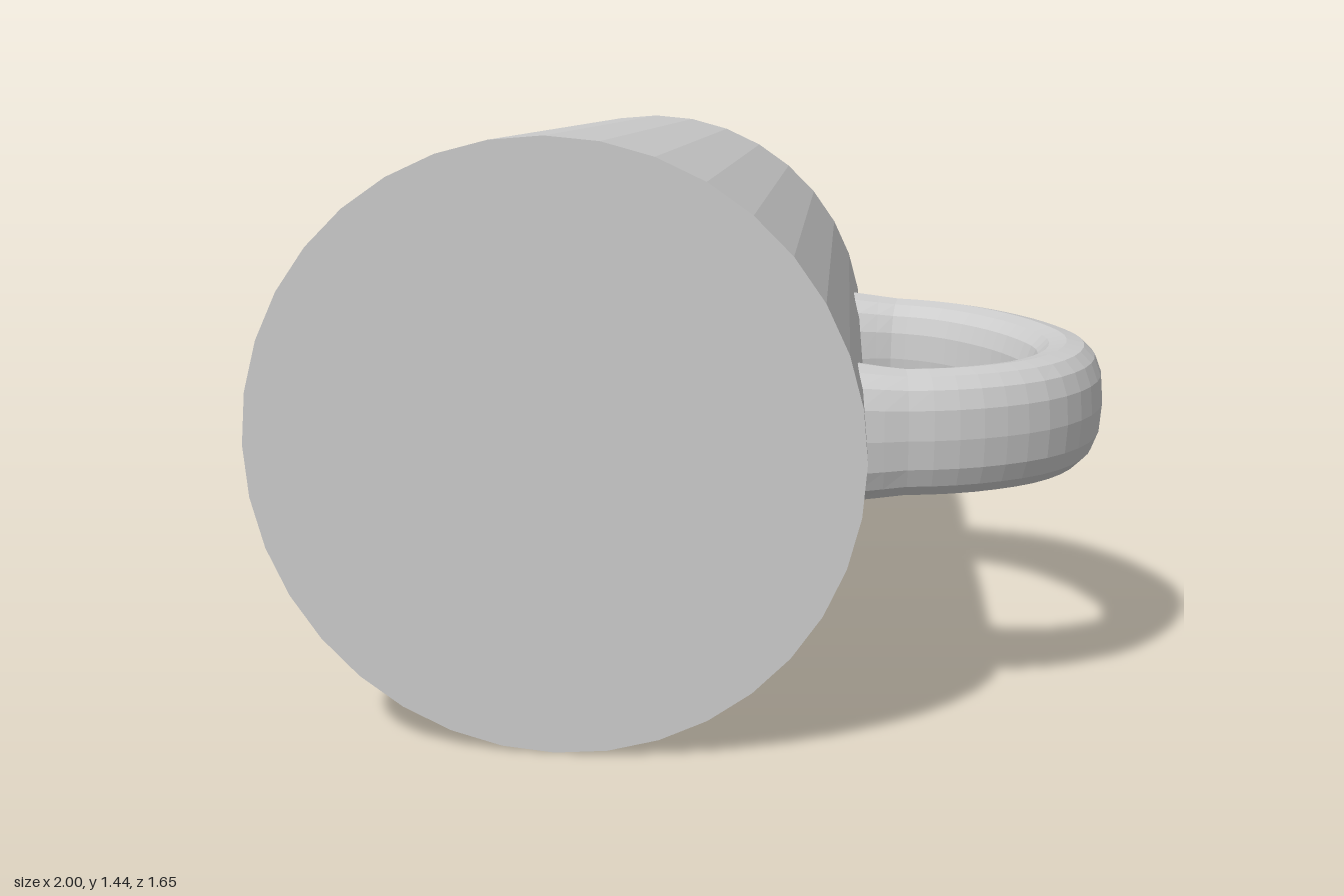
import * as THREE from 'three';

const AXIS_X = -0.278; // centre line of the mug body
const AXIS_Y = 0.722;

// Turn a geometry into crisp facets.
function faceted(geometry) {
  const flat = geometry.toNonIndexed();
  flat.computeVertexNormals();
  return flat;
}

// Sweep a rounded oblong section along a horizontal curve.
function sweepHandle(curve, steps, sides) {
  const positions = [], index = [];
  const halfThick = 0.094, halfWide = 0.152;
  const soften = (v) => Math.sign(v) * Math.pow(Math.abs(v), 0.8);
  for (let i = 0; i <= steps; i++) {
    const t = i / steps;
    const p = curve.getPointAt(t);
    const tan = curve.getTangentAt(t);
    const flare = 0.035 * Math.max(0, 1 - Math.min(t, 1 - t) / 0.09); // fillet at both roots
    for (let j = 0; j < sides; j++) {
      const a = (j / sides) * Math.PI * 2;
      const across = soften(Math.cos(a)) * (halfThick + flare);
      const up = soften(Math.sin(a)) * (halfWide + flare * 0.5);
      positions.push(p.x + tan.z * across, p.y + up, p.z - tan.x * across);
      if (i < steps) {
        const k = (j + 1) % sides;
        const a0 = i * sides + j, a1 = i * sides + k;
        index.push(a0, a1, a0 + sides, a1, a1 + sides, a0 + sides);
      }
    }
  }
  const geometry = new THREE.BufferGeometry();
  geometry.setAttribute('position', new THREE.Float32BufferAttribute(positions, 3));
  geometry.setIndex(index);
  return faceted(geometry);
}

export function createModel() {
  const group = new THREE.Group();
  group.name = 'mug';
  const grey = new THREE.MeshStandardMaterial({ color: 0xcccccc });
  grey.name = 'light grey';

  // Solid tapered body lying on its side, wide end to the front
  const bodyGeometry = new THREE.CylinderGeometry(0.722, 0.618, 1.654, 36);
  bodyGeometry.rotateX(Math.PI / 2);
  const body = new THREE.Mesh(faceted(bodyGeometry), grey);
  body.name = 'body';
  body.position.set(AXIS_X, AXIS_Y, 0);
  group.add(body);

  // Looped handle on the left side, its ends sunk into the body
  const path = [
    [0.31, -0.405], [0.39, -0.405], [0.48, -0.398], [0.61, -0.35], [0.74, -0.24],
    [0.845, -0.09], [0.905, 0.08], [0.885, 0.25], [0.81, 0.38], [0.7, 0.465],
    [0.58, 0.515], [0.44, 0.535], [0.36, 0.535],
  ].map(([x, z]) => new THREE.Vector3(x, AXIS_Y + 0.003, z));
  const handle = new THREE.Mesh(sweepHandle(new THREE.CatmullRomCurve3(path), 32, 16), grey);
  handle.name = 'handle';
  group.add(handle);

  return group;
}
